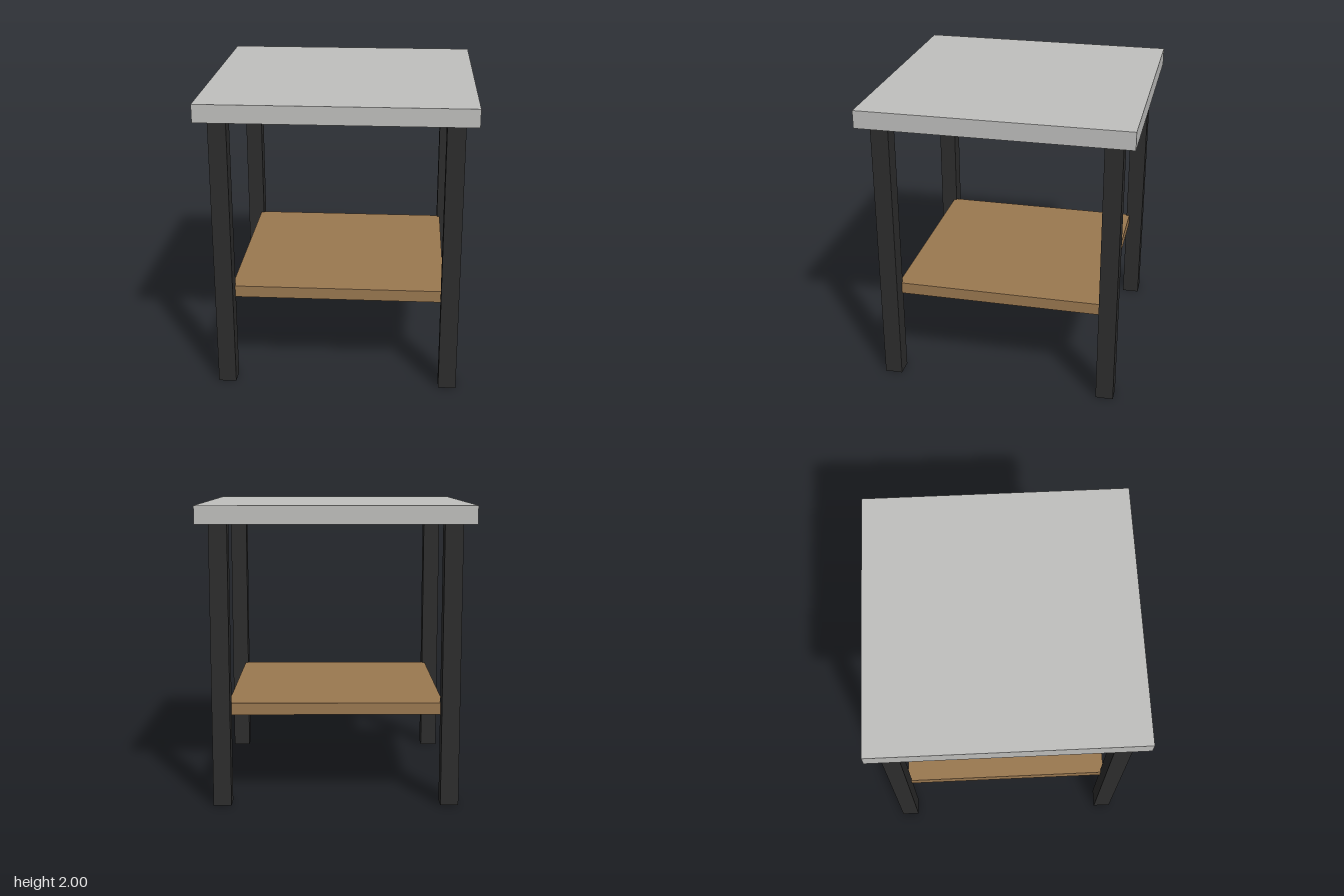
import * as THREE from 'three';

const material = (name, color) => {
  const m = new THREE.MeshStandardMaterial({ color });
  m.name = name;
  return m;
};

export function createModel() {
  const table = new THREE.Group();
  table.name = 'sideTable';
  const stone = material('light grey', 0xbfbfbd);
  const wood = material('brown wood', 0x9a7850);
  const metal = material('dark grey', 0x2d2d2d);

  // Adds a box standing on height y
  const addBox = (name, mat, width, height, depth, x, y, z) => {
    const mesh = new THREE.Mesh(new THREE.BoxGeometry(width, height, depth), mat);
    mesh.name = name;
    mesh.position.set(x, y + height / 2, z);
    table.add(mesh);
  };

  addBox('tableTop', stone, 1.8, 0.12, 1.8, 0, 1.88, 0);

  // Lower shelf, its corners let into the legs
  addBox('lowerShelf', wood, 1.44, 0.08, 1.44, 0, 0.6, 0);

  // Four square legs
  for (const [side, x] of [['Left', 0.76], ['Right', -0.76]]) {
    for (const [end, z] of [['front', 0.76], ['back', -0.76]]) {
      addBox(`${end}${side}Leg`, metal, 0.12, 1.88, 0.12, x, 0, z);
    }
  }

  return table;
}
